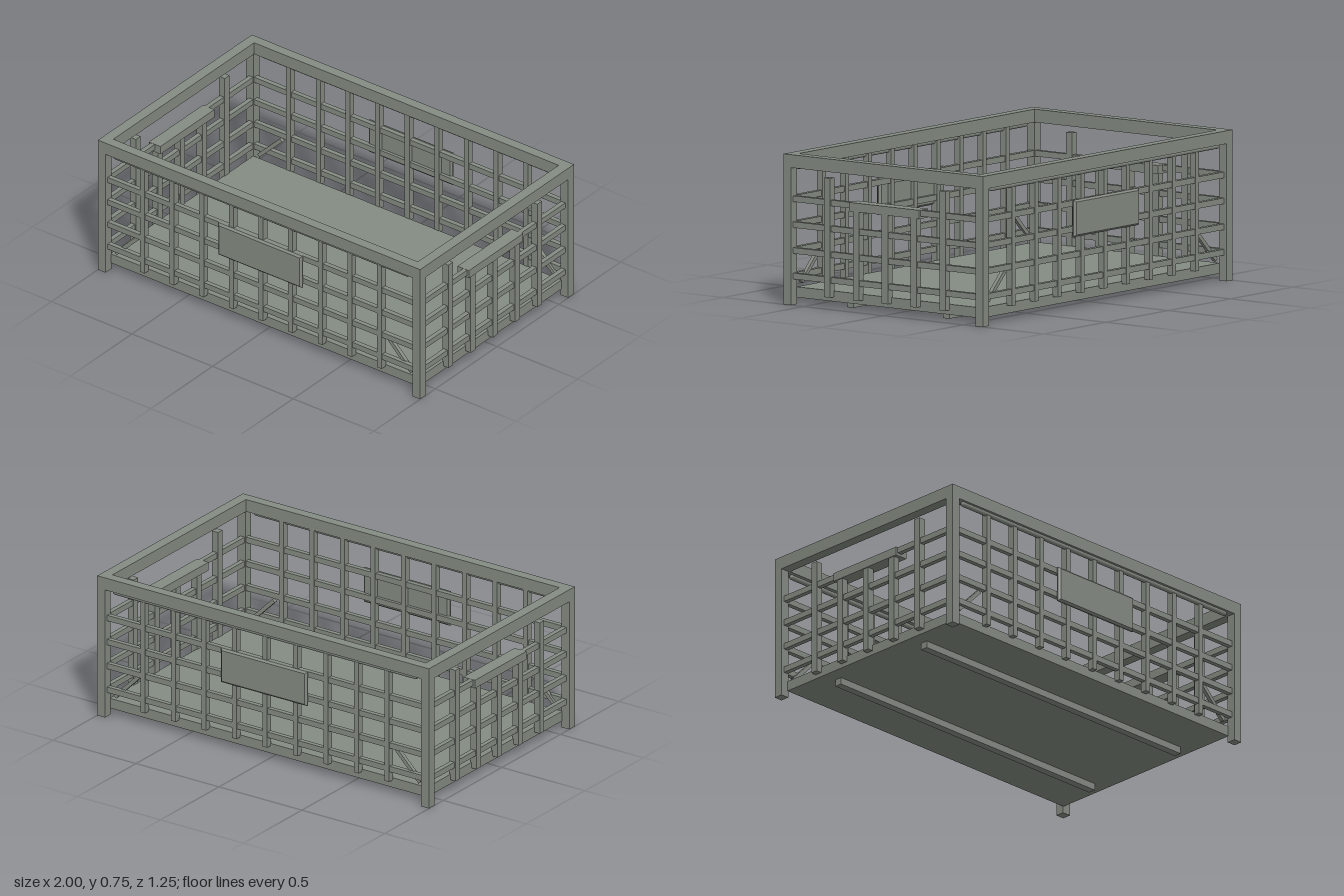
import * as THREE from 'three';

export function createModel() {
  const root = new THREE.Group();
  root.name = 'slattedCrate';
  const paint = new THREE.MeshStandardMaterial({ color: 0x858c83 });
  paint.name = 'grey green paint';

  const X = 1, Z = 0.623, TOP = 0.75;

  function add(name, geometry, x, y, z, parent = root) {
    const mesh = new THREE.Mesh(geometry, paint);
    mesh.name = name;
    mesh.position.set(x, y, z);
    parent.add(mesh);
    return mesh;
  }
  // box given by its lower and upper corners
  function box(name, x0, x1, y0, y1, z0, z1, parent) {
    return add(name, new THREE.BoxGeometry(x1 - x0, y1 - y0, z1 - z0),
      (x0 + x1) / 2, (y0 + y1) / 2, (z0 + z1) / 2, parent);
  }

  // floor slab and the two runners under it
  box('floor', -0.957, 0.957, 0.035, 0.087, -0.578, 0.578);
  for (const z of [-0.3, 0.3]) box('runner', -0.88, 0.88, 0, 0.035, z - 0.02, z + 0.02);

  // corner posts
  for (const sx of [-1, 1]) for (const sz of [-1, 1]) {
    add('cornerPost', new THREE.BoxGeometry(0.047, 0.7, 0.047),
      sx * (X - 0.0235), 0.35, sz * (Z - 0.0235));
  }

  // top rim, one ring with a rectangular opening
  const ring = new THREE.Shape([[-X, -Z], [X, -Z], [X, Z], [-X, Z]]
    .map(([x, y]) => new THREE.Vector2(x, y)));
  const ix = X - 0.055, iz = Z - 0.053;
  ring.holes.push(new THREE.Path([[-ix, -iz], [-ix, iz], [ix, iz], [ix, -iz]]
    .map(([x, y]) => new THREE.Vector2(x, y))));
  const rimGeometry = new THREE.ExtrudeGeometry(ring, { depth: 0.065, bevelEnabled: false });
  rimGeometry.rotateX(-Math.PI / 2);
  add('topRim', rimGeometry, 0, TOP - 0.065, 0);

  const slatHeights = [0.143, 0.27, 0.399, 0.528];

  // long walls, front and back
  function longWall(name) {
    const wall = new THREE.Group();
    wall.name = name;
    for (const y of slatHeights) box('slat', -0.955, 0.955, y - 0.015, y + 0.015, 0.58, 0.605, wall);
    for (let i = -4; i <= 4; i++) {
      const x = i * 0.184;
      box('upright', x - 0.014, x + 0.014, 0.075, 0.69, 0.575, 0.609, wall);
    }

    // rod tucked under the rim
    const rod = add('rimRod', new THREE.CapsuleGeometry(0.013, 1.81, 4, 10), 0, 0.677, 0.6, wall);
    rod.rotation.z = Math.PI / 2;

    // plain plate with chamfered edges
    const w = 0.25, h = 0.082;
    const face = new THREE.Shape([[-w, -h], [w, -h], [w, h], [-w, h]]
      .map(([x, y]) => new THREE.Vector2(x, y)));
    const plate = new THREE.ExtrudeGeometry(face,
      { depth: 0.006, bevelThickness: 0.01, bevelSize: 0.01, bevelSegments: 1 });
    add('plate', plate, 0, 0.453, 0.606, wall);

    // diagonal braces at the lower corners
    for (const s of [-1, 1]) {
      const brace = add('cornerBrace', new THREE.BoxGeometry(0.2, 0.02, 0.02),
        s * 0.848, 0.178, 0.578, wall);
      brace.rotation.z = -s * Math.PI / 4;
    }
    root.add(wall);
    return wall;
  }
  longWall('frontWall');
  longWall('backWall').rotation.y = Math.PI;

  // short walls with handles, left and right
  function endWall(name) {
    const wall = new THREE.Group();
    wall.name = name;
    for (const y of slatHeights) box('slat', 0.957, 0.982, y - 0.015, y + 0.015, -0.578, 0.578, wall);
    for (let i = -2; i <= 2; i++) {
      const z = i * 0.18;
      const top = Math.abs(i) === 2 ? 0.652 : 0.51;
      box('upright', 0.952, 0.988, 0.057, top, z - 0.019, z + 0.019, wall);
    }
    box('handle', 0.922, 0.993, 0.5, 0.544, -0.219, 0.219, wall);
    root.add(wall);
    return wall;
  }
  endWall('leftWall');
  endWall('rightWall').rotation.y = Math.PI;

  return root;
}
